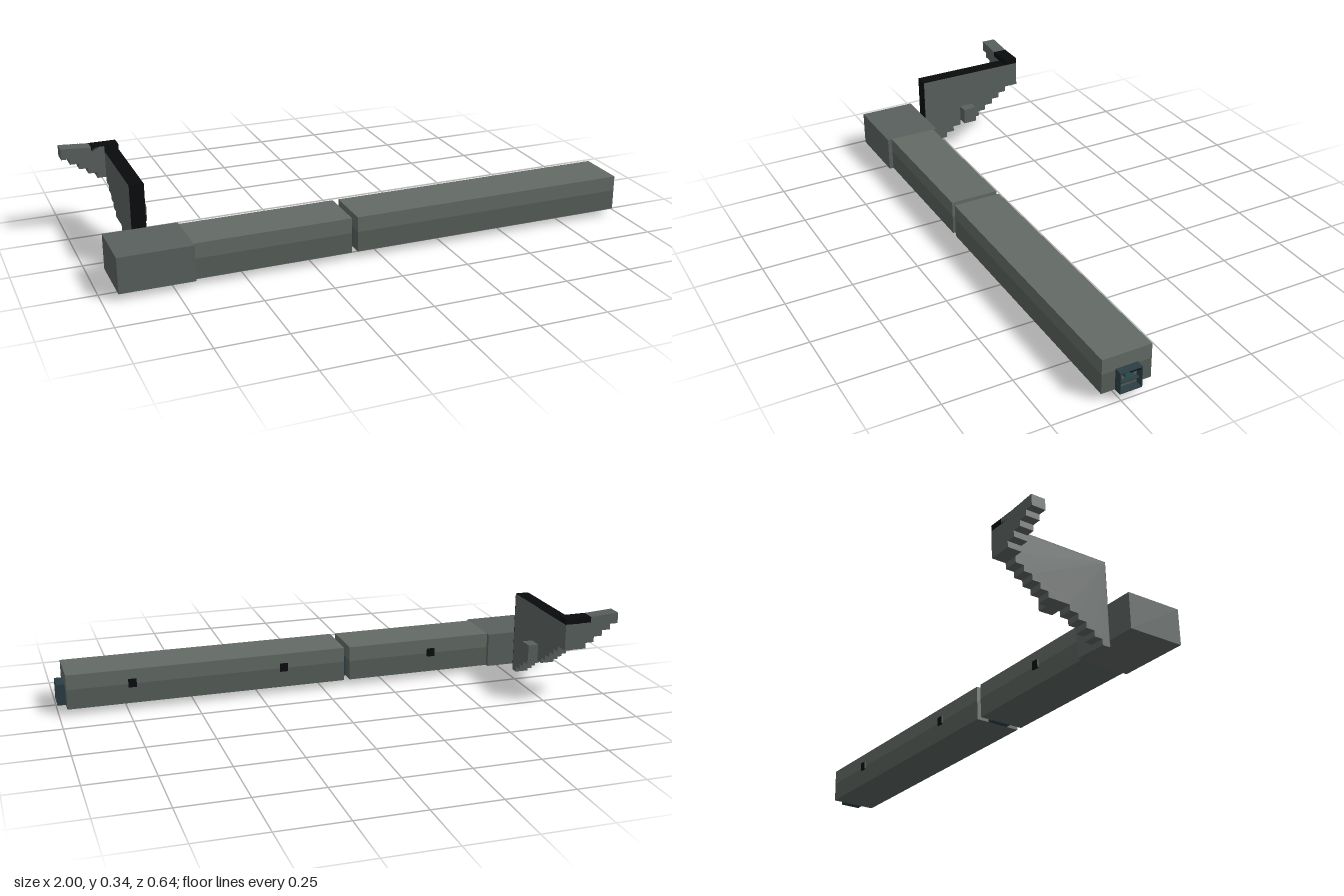
import * as THREE from 'three';

const mat = (color) => new THREE.MeshStandardMaterial({ color });
const stone = mat(0x59605d), upperStone = mat(0x636b66), lowerStone = mat(0x565e59);
const black = mat(0x080a0c), teal = mat(0x2b3d44), console_ = mat(0x2c5552);

// Box given by its min and max on each axis
function box(parent, name, x0, x1, y0, y1, z0, z1, material) {
  const mesh = new THREE.Mesh(new THREE.BoxGeometry(x1 - x0, y1 - y0, z1 - z0), material);
  mesh.position.set((x0 + x1) / 2, (y0 + y1) / 2, (z0 + z1) / 2);
  mesh.name = name;
  parent.add(mesh);
  return mesh;
}

// Flat-sided solid from outline points
function slab(parent, name, points, depth) {
  const shape = new THREE.Shape(points.map(([u, v]) => new THREE.Vector2(u, v)));
  const geometry = new THREE.ExtrudeGeometry(shape, { depth, bevelEnabled: false });
  const mesh = new THREE.Mesh(geometry, stone);
  mesh.name = name;
  parent.add(mesh);
  return mesh;
}

// Corridor with a lighter upper half
function corridor(parent, x0, x1) {
  const group = new THREE.Group();
  group.name = 'corridor';
  box(group, 'lowerWalls', x0, x1, 0.025, 0.1, 0.122, 0.305, lowerStone);
  box(group, 'upperWalls', x0, x1, 0.1, 0.156, 0.122, 0.305, upperStone);
  parent.add(group);
}

// Open doorway frame with a shelf inside
function doorway(parent, x0, x1) {
  const group = new THREE.Group();
  group.name = 'doorway';
  const t = 0.003;
  box(group, 'doorFloor', x0, x1, 0.025, 0.025 + t, 0.173, 0.255, teal);
  box(group, 'doorTop', x0, x1, 0.105 - t, 0.105, 0.173, 0.255, teal);
  box(group, 'doorSideNear', x0, x1, 0.025, 0.105, 0.255 - t, 0.255, teal);
  box(group, 'doorSideFar', x0, x1, 0.025, 0.105, 0.173, 0.173 + t, teal);
  box(group, 'doorShelf', x0, x0 + (x1 - x0) * 0.6, 0.053, 0.056, 0.176, 0.252, teal);
  parent.add(group);
  return group;
}

export function createModel() {
  const model = new THREE.Group();
  model.name = 'corridorAndStairs';

  // Entrance room and the two corridors
  box(model, 'entranceRoom', -0.945, -0.68, 0.025, 0.156, 0.107, 0.321, stone);
  corridor(model, -0.68, -0.107);
  corridor(model, -0.085, 0.97);
  doorway(model, -0.107, -0.085);

  // End doorway with a small console and lever
  const end = doorway(model, 0.97, 1);
  box(end, 'console', 0.97, 0.99, 0.072, 0.098, 0.2, 0.23, console_);
  box(end, 'lever', 0.98, 0.994, 0.092, 0.097, 0.174, 0.21, black);
  const knob = new THREE.Mesh(new THREE.SphereGeometry(0.008, 12, 8), black);
  knob.name = 'knob';
  knob.position.set(0.987, 0.095, 0.209);
  end.add(knob);

  // Black niches on the back wall
  for (const x of [-0.44, 0.155, 0.73]) {
    box(model, 'niche', x - 0.015, x + 0.015, 0.088, 0.119, 0.115, 0.123, black);
  }

  // Main flight: flat top and stepped underside with one long landing
  const edges = [-0.107, -0.076, -0.044, -0.012, 0.02, 0.053, 0.139, 0.17, 0.202, 0.234, 0.266, 0.32];
  const main = [[-0.107, 0.315]];
  for (let i = 0; i < 11; i++) {
    const y = i * 0.0216;
    main.push([edges[i], y], [edges[i + 1], y]);
  }
  main.push([0.32, 0.315]);
  const flight = slab(model, 'mainFlight', main, 0.052);
  flight.rotation.y = Math.PI / 2;
  flight.position.x = -0.842;

  // Dark top and entrance of the flight
  box(model, 'flightTop', -0.842, -0.79, 0.314, 0.316, -0.32, 0.107, black);
  box(model, 'flightEntrance', -0.842, -0.79, 0.002, 0.316, 0.106, 0.108, black);

  // Small side chamber on the landing
  box(model, 'sideChamber', -0.79, -0.75, 0.11, 0.172, -0.107, -0.053, stone);

  // Upper flight turning towards the side, with a stepped underside
  const upper = [[-0.842, 0.335]];
  for (let i = 0; i < 5; i++) {
    const y = 0.216 + i * 0.0215;
    const x = -0.842 - i * 0.032;
    upper.push([x, y], [i === 4 ? -1 : x - 0.032, y]);
  }
  upper.push([-1, 0.335]);
  slab(model, 'upperFlight', upper, 0.053).position.z = -0.32;
  box(model, 'upperFlightTop', -0.89, -0.79, 0.315, 0.336, -0.32, -0.267, black);

  // Shallow treads on the far end
  for (let i = 0; i < 9; i++) {
    const x = -0.89 - i * 0.0122;
    box(model, 'tread', x - 0.0122, x, 0.334, 0.336 + i * 0.0008, -0.32, -0.267, stone);
  }
  return model;
}
